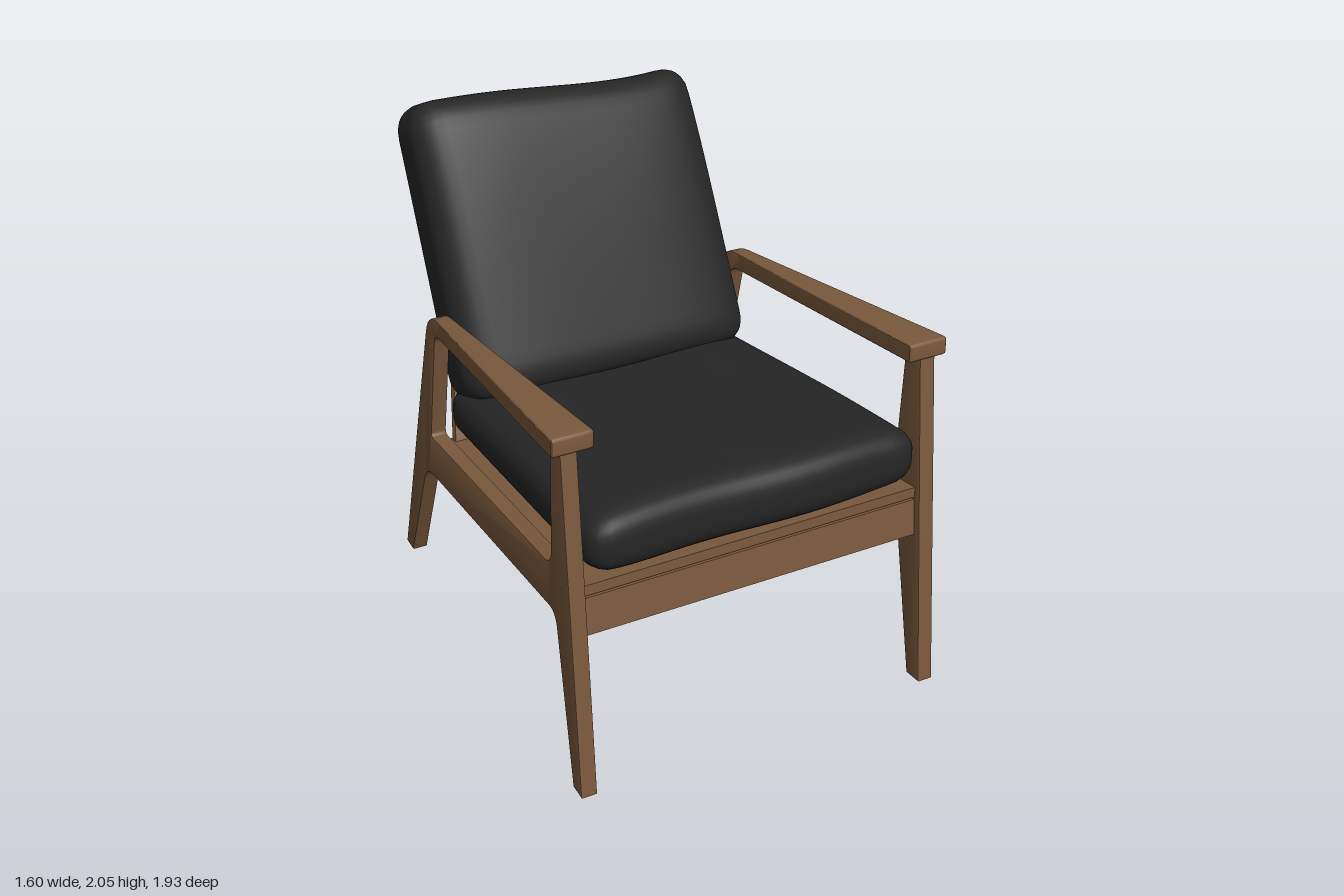
import * as THREE from 'three';
import { mergeVertices, toCreasedNormals } from 'three/addons/utils/BufferGeometryUtils.js';

const wood = new THREE.MeshStandardMaterial({ color: 0x7b5a3d });
wood.name = 'walnut wood';
const fabric = new THREE.MeshStandardMaterial({ color: 0x262626 });
fabric.name = 'charcoal fabric';

// Closed shape from [z, y, cornerRadius] points; corners with a radius are rounded
function roundedShape(points) {
  const shape = new THREE.Shape();
  const n = points.length;
  points.forEach(([u, v, r = 0], i) => {
    const p = new THREE.Vector2(u, v);
    const toward = (q) => new THREE.Vector2(q[0], q[1]).sub(p).setLength(r).add(p);
    const a = toward(points[(i + n - 1) % n]);
    const b = toward(points[(i + 1) % n]);
    if (i === 0) shape.moveTo(a.x, a.y);
    else shape.lineTo(a.x, a.y);
    if (r > 0) shape.quadraticCurveTo(p.x, p.y, b.x, b.y);
  });
  return shape;
}

// Extrudes a side profile across x; centre and half width may vary along the profile
function sidePart(name, points, half, centre = () => 0, bevel = false) {
  const geo = new THREE.ExtrudeGeometry(roundedShape(points), {
    depth: bevel ? 0.84 : 1, curveSegments: 6, bevelEnabled: bevel,
    bevelThickness: 0.08, bevelSize: 0.005, bevelOffset: -0.005, bevelSegments: 2,
  });
  geo.translate(0, 0, bevel ? -0.42 : -0.5);
  const pos = geo.attributes.position;
  for (let i = 0; i < pos.count; i++) {
    const u = pos.getX(i), v = pos.getY(i), w = pos.getZ(i);
    pos.setXYZ(i, centre(u) - w * 2 * half(u, v), v, u);
  }
  const mesh = new THREE.Mesh(toCreasedNormals(geo, 0.6), wood);
  mesh.name = name;
  return mesh;
}

// Soft rounded block; place() moves each point, given its local position
function cushion(name, size, radius, segments, place) {
  let geo = new THREE.BoxGeometry(...size.map((s) => s * 2), ...segments);
  geo.deleteAttribute('uv');
  geo.deleteAttribute('normal');
  geo = mergeVertices(geo);
  const pos = geo.attributes.position;
  const core = new THREE.Vector3(...size).subScalar(radius);
  const p = new THREE.Vector3(), q = new THREE.Vector3();
  for (let i = 0; i < pos.count; i++) {
    p.fromBufferAttribute(pos, i);
    q.copy(p).clamp(core.clone().negate(), core);
    p.sub(q).setLength(radius).add(q);
    pos.setXYZ(i, ...place(p.x, p.y, p.z));
  }
  geo.computeVertexNormals();
  const mesh = new THREE.Mesh(geo, fabric);
  mesh.name = name;
  return mesh;
}

export function createModel() {
  const chair = new THREE.Group();
  chair.name = 'armchair';

  // Side frames splay outward toward the front
  const frameX = (z) => 0.685 + 0.0535 * z;
  const frameHalf = 0.0325;
  const frameProfile = [
    [0.965, 0], [0.89, 0], [0.757, 0.685, 0.06], [-0.6, 0.547, 0.08],
    [-0.85, 0], [-0.93, 0], [-0.597, 0.96], [-0.475, 1.308, 0.1],
    [-0.34, 1.321], [-0.34, 1.25], [-0.402, 1.244, 0.04],
    [-0.515, 0.737, 0.025], [0.727, 0.866, 0.06], [0.75, 1.385], [0.833, 1.385],
  ];
  const armProfile = [
    [-0.36, 1.319], [0.85, 1.442, 0.015], [0.85, 1.37, 0.01], [-0.36, 1.248],
  ];
  const along = (z) => (z + 0.36) / 1.21;
  for (const [side, s] of [['left', 1], ['right', -1]]) {
    chair.add(
      sidePart(side + 'Frame', frameProfile, () => frameHalf, (z) => s * frameX(z), true),
      sidePart(side + 'Armrest', armProfile, (z) => frameHalf + 0.0475 * along(z),
        (z) => s * (frameX(z) - 0.01 * along(z)), true),
    );
  }

  // Front rail, seat deck and tapered back panel
  const inner = (z) => frameX(z) - 0.03;
  chair.add(
    sidePart('frontRail', [[0.81, 0.635], [0.875, 0.635], [0.86, 0.783], [0.795, 0.783]], inner),
    sidePart('seatDeck', [[0.86, 0.792], [0.86, 0.835], [-0.5, 0.715], [-0.5, 0.67]], inner),
    sidePart('backPanel', [[-0.45, 0.7], [-0.895, 1.7], [-0.92, 1.69], [-0.48, 0.69]],
      (z, y) => 0.61 - 0.2 * (y - 0.7)),
  );

  // Seat cushion, narrowing and sinking toward the back
  chair.add(cushion('seatCushion', [0.65, 0.13, 0.705], 0.1, [32, 8, 32], (x, y, z) => {
    const zz = z + 0.205;
    const edge = Math.pow(Math.abs(x / 0.65), 6);
    const wave = y > 0 ? 0.008 * Math.cos(x * 9) * Math.sin(zz * 4) : 0;
    return [
      x * (1 + 0.077 * zz),
      0.912 + 0.085 * zz + y * (1 - 0.2 * edge) + wave,
      zz + 0.008 * Math.sin(x * 8) * (z > 0.6 ? 1 : 0),
    ];
  }));

  // Back cushion, leaning with the panel, thinner along the sides and top
  const cos = 0.909, sin = 0.416;
  chair.add(cushion('backCushion', [0.61, 0.58, 0.197], 0.11, [30, 28, 10], (x, t, n) => {
    const edge = Math.pow(Math.abs(x / 0.61), 4);
    const up = (t + 0.58) / 1.16;
    const thin = (1 - 0.25 * edge) * (1 - 0.15 * Math.pow(up, 6));
    const nn = 0.088 + n * thin - 0.02 * Math.pow(up, 5);
    const tt = 1.58 + t - 0.022 * up * Math.sin(x * 4) + 0.012 * edge * up;
    return [
      x * (1.025 - 0.035 * up) - 0.015 * up,
      sin * nn + cos * tt,
      cos * nn - sin * tt,
    ];
  }));

  return chair;
}
